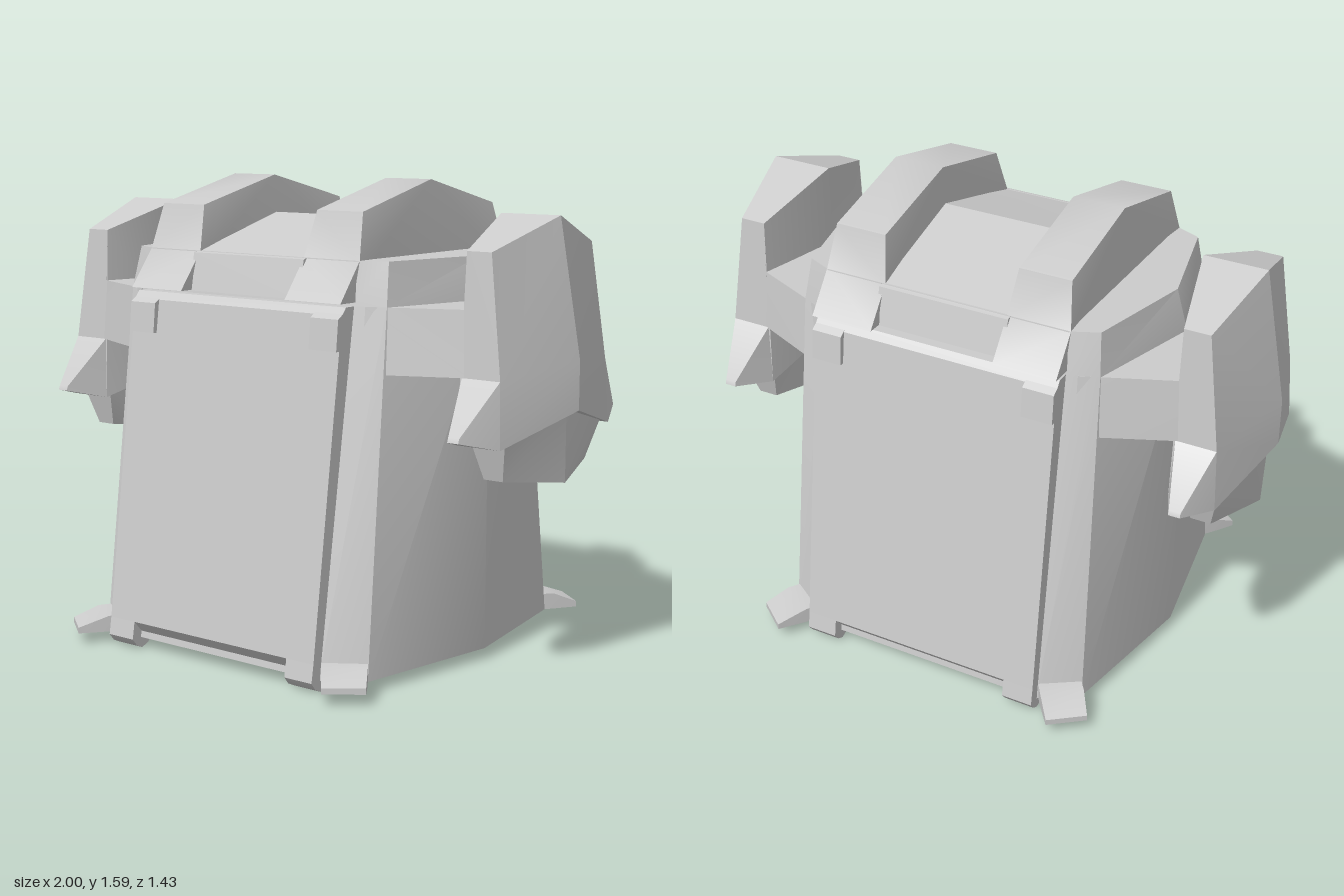
import * as THREE from 'three';
import { toCreasedNormals } from 'three/addons/utils/BufferGeometryUtils.js';

const material = new THREE.MeshStandardMaterial({ color: 0xcccccc });

// Closed solid through rings of equal point count, capped at both ends and wound outward
function loft(name, rings) {
  const tris = [];
  const n = rings[0].length, last = rings[rings.length - 1];
  for (let i = 0; i < rings.length - 1; i++) {
    for (let j = 0; j < n; j++) {
      const k = (j + 1) % n;
      const [a, b, c, d] = [rings[i][j], rings[i][k], rings[i + 1][k], rings[i + 1][j]];
      tris.push([a, b, c], [a, c, d]);
    }
  }
  for (let k = 1; k < n - 1; k++) {
    tris.push([rings[0][0], rings[0][k + 1], rings[0][k]], [last[0], last[k], last[k + 1]]);
  }
  const o = new THREE.Vector3(...rings[0][0]);
  const v = tris.map(t => t.map(p => new THREE.Vector3(...p)));
  const volume = v.reduce((s, [a, b, c]) =>
    s + a.clone().sub(o).dot(b.clone().sub(o).cross(c.clone().sub(o))), 0);
  if (volume < 0) v.forEach(t => t.reverse());
  const geometry = new THREE.BufferGeometry().setFromPoints(v.flat());
  const mesh = new THREE.Mesh(toCreasedNormals(geometry, 0.49), material);
  mesh.name = name;
  return mesh;
}

const flip = (ring, sx, sz = 1) => ring.map(([x, y, z]) => [sx * x, y, sz * z]);

// Extrudes a (z, y) profile between two x positions
const slab = (name, profile, x0, x1) =>
  loft(name, [x0, x1].map(x => profile.map(([z, y]) => [x, y, z])));

// Eight-sided plan outline: front edge, chamfered corner, side apex
function bodyRing(y, front, cx, cz, apex) {
  return [[0.44, y, front], [cx, y, cz], [apex, y, 0], [cx, y, -cz], [0.44, y, -front],
    [-0.44, y, -front], [-cx, y, -cz], [-apex, y, 0], [-cx, y, cz], [-0.44, y, front]];
}

// Mirrors the outline of an arched profile in z
const arch = half => [...half, ...half.slice(1).reverse().map(([z, y]) => [-z, y])];

function shoulder(s) {
  const group = new THREE.Group();
  group.name = s > 0 ? 'leftShoulder' : 'rightShoulder';

  // Arm joining the body to the pad
  group.add(loft('arm', [[0.48, 0.43, 0.45], [0.8, 0.295, 0.31]].map(([x, zt, zb]) =>
    flip([[x, 1.21, zt], [x, 1.0, zb], [x, 1.0, -zb], [x, 1.21, -zt]], s))));

  // Faceted outer pad
  const middle = [[0.7, 1.49, 0], [0.92, 1.49, 0], [1, 1.04, 0], [1, 0.88, 0], [0.7, 0.88, 0], [0.7, 1, 0]];
  const end = [[0.77, 1.39, 0.3], [0.86, 1.39, 0.3], [0.91, 1, 0.32],
    [0.92, 0.79, 0.33], [0.76, 0.79, 0.33], [0.77, 1, 0.32]];
  group.add(loft('shoulderPad', [flip(end, s, -1), flip(middle, s), flip(end, s)]));

  // Spikes at the lower ends of the pad
  for (const sz of [1, -1]) {
    const tip = [[0.86, 0.84, 0.465], [0.86, 0.825, 0.47], [0.82, 0.825, 0.47], [0.82, 0.84, 0.465]];
    group.add(loft('padSpike', [flip(end.slice(2), s, sz), flip(tip, s, sz)]));
  }

  // Keel under the pad
  const keelMid = [[0.75, 0.9, 0], [0.955, 0.9, 0], [0.955, 0.642, 0], [0.75, 0.642, 0]];
  const keelEnd = [[0.78, 0.82, 0.295], [0.915, 0.82, 0.295], [0.88, 0.675, 0.25], [0.81, 0.675, 0.25]];
  group.add(loft('padKeel', [flip(keelEnd, s, -1), flip(keelMid, s), flip(keelEnd, s)]));
  return group;
}

export function createModel() {
  const model = new THREE.Group();
  model.name = 'armouredPod';

  // Tapered hull with chamfered corner pillars
  model.add(loft('body', [
    bodyRing(0.04, 0.615, 0.57, 0.53, 0.66),
    bodyRing(1.21, 0.44, 0.545, 0.405, 0.66),
    bodyRing(1.35, 0.415, 0.53, 0.375, 0.62),
  ]));

  // Curved roof between two raised ribs
  model.add(slab('roof', arch([[0, 1.46], [0.4, 1.352], [0.43, 1.345], [0.46, 1.22]]), -0.235, 0.235));
  const ribProfile = arch([[0, 1.59], [0.37, 1.5], [0.413, 1.35], [0.512, 1.222]]);
  for (const s of [1, -1]) {
    const side = outer => ribProfile.map(([z, y]) => {
      const inset = y > 1.4 ? 0.02 : 0;
      return [s * (outer ? 0.445 - inset : 0.222 + inset), y, z];
    });
    model.add(loft('roofRib', [side(false), side(true)]));
    model.add(shoulder(s));
  }

  // Front and back panels with their clips, and the corner feet
  const panel = [[0.645, 0.1], [0.5, 1.185], [0.48, 1.21], [0.4, 1.21], [0.58, 0.06], [0.61, 0.06]];
  const upperClip = [[0.48, 1.2], [0.52, 1.175], [0.53, 1.075], [0.49, 1.075]];
  const lowerClip = [[0.645, 0.1], [0.655, 0.04], [0.635, 0.015], [0.61, 0.003], [0.58, 0.015], [0.55, 0.06]];
  for (const sz of [1, -1]) {
    const turn = profile => profile.map(([z, y]) => [z * sz, y]);
    model.add(slab(sz > 0 ? 'frontPanel' : 'backPanel', turn(panel), -0.443, 0.443));
    for (const s of [1, -1]) {
      model.add(slab('upperClip', turn(upperClip), s * 0.333, s * 0.443));
      model.add(slab('lowerClip', turn(lowerClip), s * 0.333, s * 0.443));
      model.add(loft('foot', [
        [[0.42, 0.04, 0.57], [0.54, 0.04, 0.49], [0.54, 0.1, 0.49], [0.42, 0.1, 0.57]],
        [[0.465, 0.04, 0.635], [0.592, 0.04, 0.56], [0.592, 0.095, 0.56], [0.465, 0.095, 0.635]],
        [[0.53, 0.04, 0.717], [0.64, 0.04, 0.632], [0.64, 0.06, 0.632], [0.53, 0.06, 0.717]],
      ].map(ring => flip(ring, s, sz))));
    }
  }
  return model;
}
